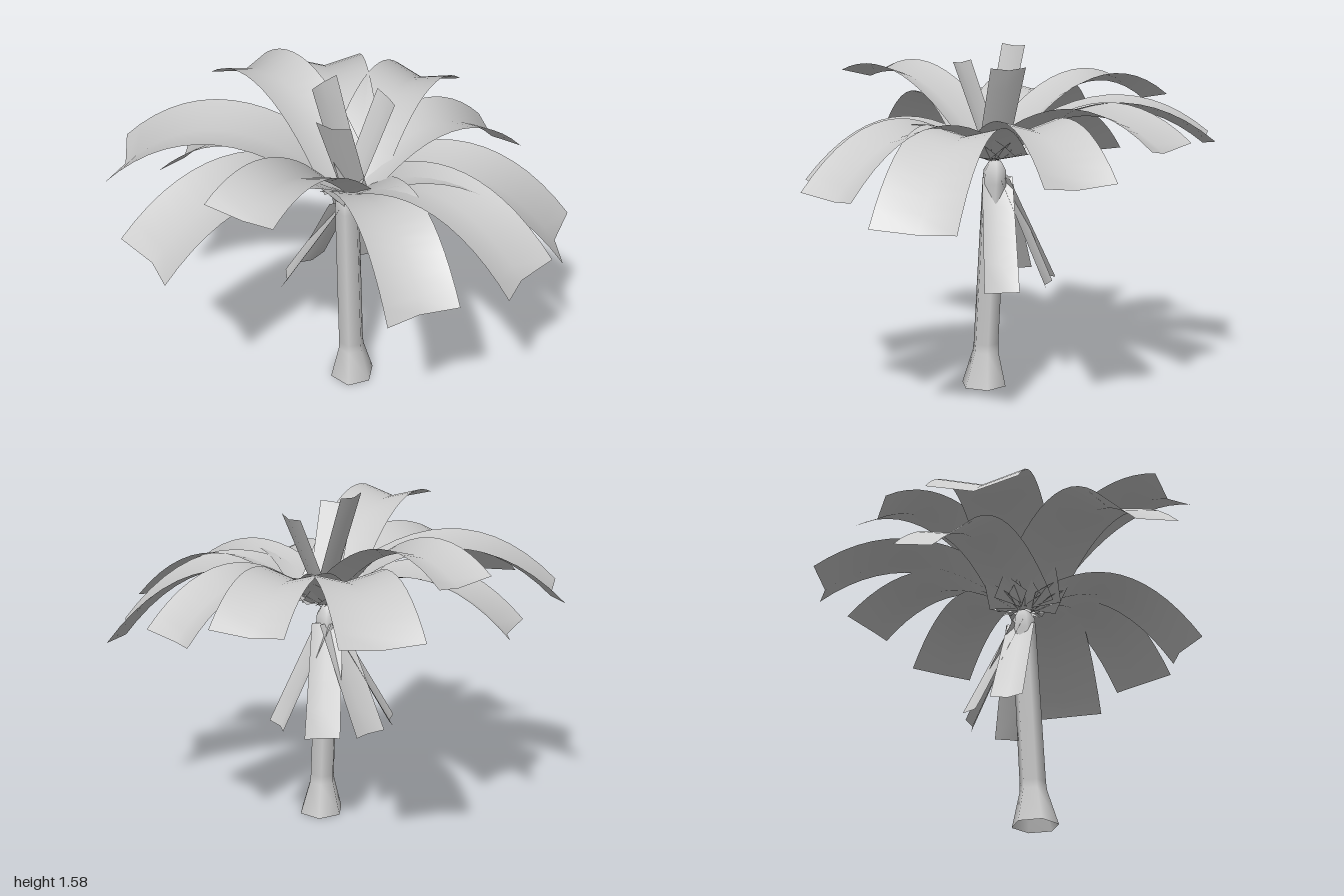
import * as THREE from 'three';

const grey = new THREE.MeshStandardMaterial({ color: 0xcccccc, side: THREE.DoubleSide });

// Folded leaf blade from a root point to two tip corners a, b ([x, z]); its middle line sinks into a shallow V.
function blade(name, { root, a, b, tipY, peak = null, fold, rows }) {
  const start = new THREE.Vector3(...root);
  const tip = new THREE.Vector3((a[0] + b[0]) / 2, tipY, (a[1] + b[1]) / 2);
  const side = new THREE.Vector3((b[0] - a[0]) / 2, 0, (b[1] - a[1]) / 2);
  const control = start.clone().lerp(tip, peak === null ? 0.5 : 0.54);
  // control height that makes the arc top out at the peak
  if (peak !== null) control.y = peak + Math.sqrt((peak - start.y) * (peak - tipY));
  const curve = new THREE.QuadraticBezierCurve3(start, control, tip);

  const positions = [], index = [];
  for (let i = 0; i <= rows; i++) {
    const t = i / rows, width = 0.88 + 0.12 * t;
    const centre = curve.getPoint(t), tangent = curve.getTangent(t);
    const half = side.clone().multiplyScalar(width);
    const normal = side.clone().cross(tangent).normalize();
    const left = centre.clone().sub(half), right = centre.clone().add(half);
    const middle = centre.clone().addScaledVector(normal, -fold * width);
    // slightly notched end
    if (i === rows) middle.addScaledVector(tangent, -fold / 4);
    for (const p of [left, middle, right]) positions.push(p.x, p.y, p.z);
    if (i === rows) continue;
    for (let k = 0; k < 2; k++) {
      const p = i * 3 + k;
      index.push(p, p + 1, p + 3, p + 1, p + 4, p + 3);
    }
  }
  const geometry = new THREE.BufferGeometry();
  geometry.setAttribute('position', new THREE.Float32BufferAttribute(positions, 3));
  geometry.setIndex(index);
  geometry.computeVertexNormals();
  const mesh = new THREE.Mesh(geometry, grey);
  mesh.name = name;
  return mesh;
}

// Six-sided trunk, open below, with a flared foot and a rounded top
function makeTrunk() {
  const profile = [[0.108, 0], [0.064, 0.16], [0.061, 0.2], [0.06, 0.5], [0.058, 0.95], [0.055, 1.01], [0.03, 1.05], [0, 1.06]];
  const geometry = new THREE.LatheGeometry(profile.map(([r, y]) => new THREE.Vector2(r, y)), 6, Math.PI / 2);
  // slight lean towards the back
  const pos = geometry.attributes.position;
  for (let i = 0; i < pos.count; i++) {
    const y = pos.getY(i);
    pos.setX(i, pos.getX(i) + 0.053 - 0.012 * y);
    pos.setZ(i, pos.getZ(i) + 0.104 - 0.055 * y);
  }
  const mesh = new THREE.Mesh(geometry, grey);
  mesh.name = 'trunk';
  return mesh;
}

export function createModel() {
  const model = new THREE.Group();
  model.name = 'palmTree';
  model.add(makeTrunk());

  // Large arching fronds: tip corner, tip corner, tip height, peak height
  const fronds = [
    [[0.07, -0.95], [0.42, -0.87], 1.17, 1.34],
    [[0.58, -0.71], [0.81, -0.47], 1.19, 1.34],
    [[0.85, -0.32], [0.92, 0.0], 1.07, 1.29],
    [[1.0, 0.36], [0.81, 0.69], 0.91, 1.26],
    [[0.72, 0.75], [0.43, 0.94], 1.0, 1.27],
    [[0.24, 0.88], [-0.09, 0.9], 0.97, 1.25],
    [[-0.5, 0.7], [-0.71, 0.45], 1.43, 1.47],
    [[-0.9, 0.47], [-1.0, 0.1], 1.08, 1.33],
    [[-0.99, -0.26], [-0.81, -0.61], 1.13, 1.37],
    [[-0.71, -0.43], [-0.49, -0.68], 1.02, 1.26],
    [[-0.37, -0.7], [-0.07, -0.79], 1.33, 1.44],
  ];
  const crown = new THREE.Group();
  crown.name = 'crown';
  fronds.forEach(([a, b, tipY, peak]) => crown.add(blade('frond', {
    root: [0.05, 1.09, 0.06], a, b, tipY, peak, fold: 0.048, rows: 14,
  })));
  model.add(crown);

  // Young upright leaves in the middle
  const shoots = [
    [[-0.1, -0.01], [0.04, -0.09], 1.575],
    [[-0.01, 0.23], [-0.13, 0.13], 1.5],
    [[0.22, -0.06], [0.24, 0.1], 1.49],
  ];
  shoots.forEach(([a, b, tipY]) => model.add(blade('youngLeaf', {
    root: [0.06, 1.1, 0.06], a, b, tipY, fold: 0.015, rows: 4,
  })));

  // Dead leaves hanging against the trunk: root x, z and tip corners
  const hanging = [
    [[0.06, 0.04], [0.3, -0.02], [0.3, 0.14]],
    [[0.06, 0.01], [0.1, -0.21], [0.25, -0.15]],
    [[0.035, 0.01], [-0.13, -0.2], [0.03, -0.24]],
    [[0.02, 0.03], [-0.26, -0.04], [-0.19, -0.17]],
  ];
  hanging.forEach(([[x, z], a, b]) => model.add(blade('hangingLeaf', {
    root: [x, 0.98, z], a, b, tipY: 0.495, fold: 0.02, rows: 4,
  })));

  return model;
}
